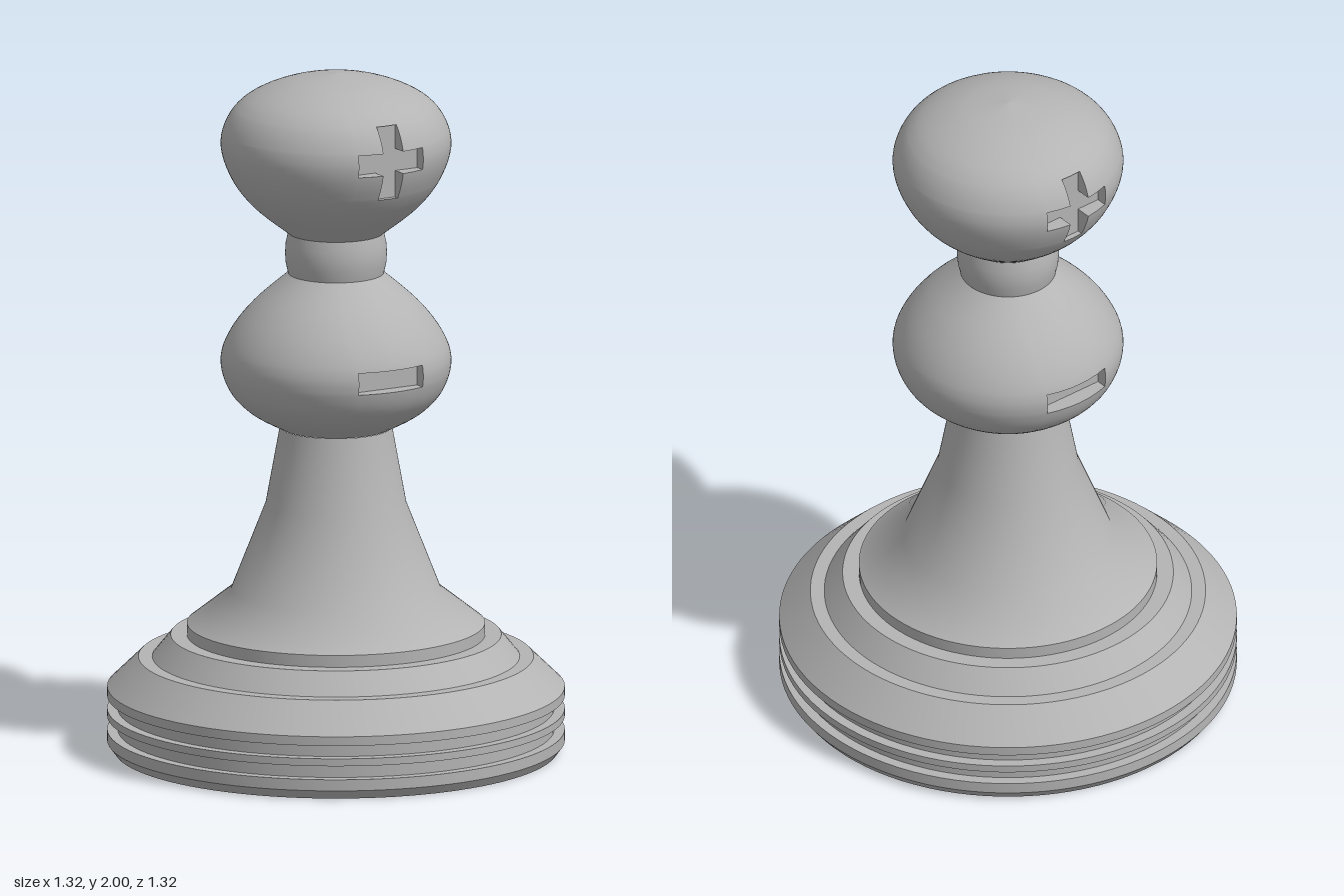
import * as THREE from 'three';
import { toCreasedNormals } from 'three/addons/utils/BufferGeometryUtils.js';

const SEGMENTS = 96;
const FLOOR = 0.28; // z of the flat floor of each recess
const X_BREAKS = [-0.107, -0.07, -0.033, 0, 0.033, 0.07, 0.107];
const vectors = (list) => list.map(([x, y]) => new THREE.Vector2(x, y));

// Smooth profile rows, with extra rows exactly at the recess edges
function profileRows(points, breaks) {
  const curve = new THREE.SplineCurve(vectors(points));
  const fine = curve.getPoints(600);
  const rows = curve.getPoints(36).filter((p) => breaks.every((y) => Math.abs(p.y - y) > 0.004));
  for (const y of breaks) {
    const p = fine.reduce((best, q) => (Math.abs(q.y - y) < Math.abs(best.y - y) ? q : best));
    rows.push(new THREE.Vector2(p.x, y));
  }
  return rows.sort((a, b) => a.y - b.y);
}

// Angles around one row: straight recess edges at front and back, even steps between
function rowAngles(r) {
  const face = X_BREAKS.map((x) => Math.asin(x / Math.max(r, 0.25)));
  const a = face[face.length - 1];
  const half = [...face];
  const steps = 40;
  for (let i = 1; i < steps; i++) half.push(a + ((Math.PI - 2 * a) * i) / steps);
  return [...half, ...half.map((t) => t + Math.PI)];
}

// Round bulb with a symbol sunk into its front and back; inSymbol tests a cell centre
function recessedBulb(points, breaks, inSymbol, material, name) {
  const rows = profileRows(points, breaks);
  const grid = rows.map(({ x: r, y }) =>
    rowAngles(r).map((t) => new THREE.Vector3(r * Math.sin(t), y, r * Math.cos(t))));
  const n = grid[0].length;
  const sunk = (i, j) => {
    if (j < 0 || j >= rows.length - 1) return false;
    const k = (i + n) % n;
    if (k % (n / 2) >= X_BREAKS.length - 1) return false;
    const x = (X_BREAKS[k % (n / 2)] + X_BREAKS[k % (n / 2) + 1]) / 2;
    return inSymbol(Math.abs(x), (rows[j].y + rows[j + 1].y) / 2);
  };

  const all = [], kept = [], recess = [];
  const quad = (a, b, c, d) => [a, b, c, a, c, d].forEach((p) => recess.push(p));
  for (let j = 0; j < rows.length - 1; j++) {
    for (let i = 0; i < n; i++) {
      const k = (i + 1) % n;
      const a = j * n + i, b = j * n + k, c = b + n, d = a + n;
      const faces = [a, b, c, a, c, d];
      all.push(...faces);
      if (!sunk(i, j)) {
        kept.push(...faces);
        continue;
      }
      // Floor of the cell, and a wall wherever the symbol ends
      const top = [grid[j][i], grid[j][k], grid[j + 1][k], grid[j + 1][i]];
      const low = top.map((p) => new THREE.Vector3(p.x, p.y, Math.sign(p.z) * FLOOR));
      quad(...low);
      [[i, j - 1], [i + 1, j], [i, j + 1], [i - 1, j]].forEach(([u, v], e) => {
        const f = (e + 1) % 4;
        if (!sunk(u, v)) quad(low[f], low[e], top[e], top[f]);
      });
    }
  }

  const skin = new THREE.BufferGeometry().setFromPoints(grid.flat());
  skin.setIndex(all);
  skin.computeVertexNormals();
  skin.setIndex(kept);
  const pocket = new THREE.BufferGeometry().setFromPoints(recess);
  pocket.computeVertexNormals();

  const group = new THREE.Group();
  group.name = name;
  const skinMesh = new THREE.Mesh(skin, material);
  skinMesh.name = name + 'Surface';
  const pocketMesh = new THREE.Mesh(pocket, material);
  pocketMesh.name = name + 'Recess';
  group.add(skinMesh, pocketMesh);
  return group;
}

export function createModel() {
  const model = new THREE.Group();
  model.name = 'pawn';
  const grey = new THREE.MeshStandardMaterial({ color: 0xb4b4b4 });
  grey.name = 'grey';

  const turned = (name, points, creased = false) => {
    let geometry = new THREE.LatheGeometry(vectors(points), SEGMENTS);
    if (creased) geometry = toCreasedNormals(geometry, 0.4);
    const mesh = new THREE.Mesh(geometry, grey);
    mesh.name = name;
    model.add(mesh);
  };

  // Stepped base with two grooves
  turned('base', [
    [0, 0], [0.64, 0], [0.66, 0.027], [0.66, 0.06], [0.63, 0.06], [0.63, 0.1],
    [0.66, 0.1], [0.66, 0.122], [0.63, 0.122], [0.63, 0.16], [0.66, 0.16], [0.66, 0.187],
    [0.57, 0.275], [0.53, 0.275], [0.477, 0.34], [0.43, 0.34], [0.43, 0.375],
  ], true);

  // Flared stem and rounded neck
  turned('stem', [[0.43, 0.375], [0.303, 0.475], [0.203, 0.73], [0.162, 0.955]]);
  turned('neck', [[0.138, 1.41], [0.145, 1.44], [0.147, 1.47], [0.145, 1.5], [0.138, 1.53]]);

  // Lower bulb with a sunken bar
  model.add(recessedBulb(
    [[0.16, 0.955], [0.25, 1.005], [0.31, 1.07], [0.333, 1.155], [0.306, 1.235], [0.24, 1.32], [0.138, 1.41]],
    [1.12, 1.184],
    (x, y) => y > 1.12 && y < 1.184,
    grey, 'lowerBulb'));

  // Head with a sunken cross
  model.add(recessedBulb(
    [[0.138, 1.53], [0.24, 1.612], [0.303, 1.695], [0.333, 1.79], [0.31, 1.872], [0.25, 1.932], [0.14, 1.978], [0, 2]],
    [1.685, 1.763, 1.828, 1.9],
    (x, y) => (y > 1.763 && y < 1.828) || (x < 0.033 && y > 1.685 && y < 1.9),
    grey, 'head'));

  return model;
}
